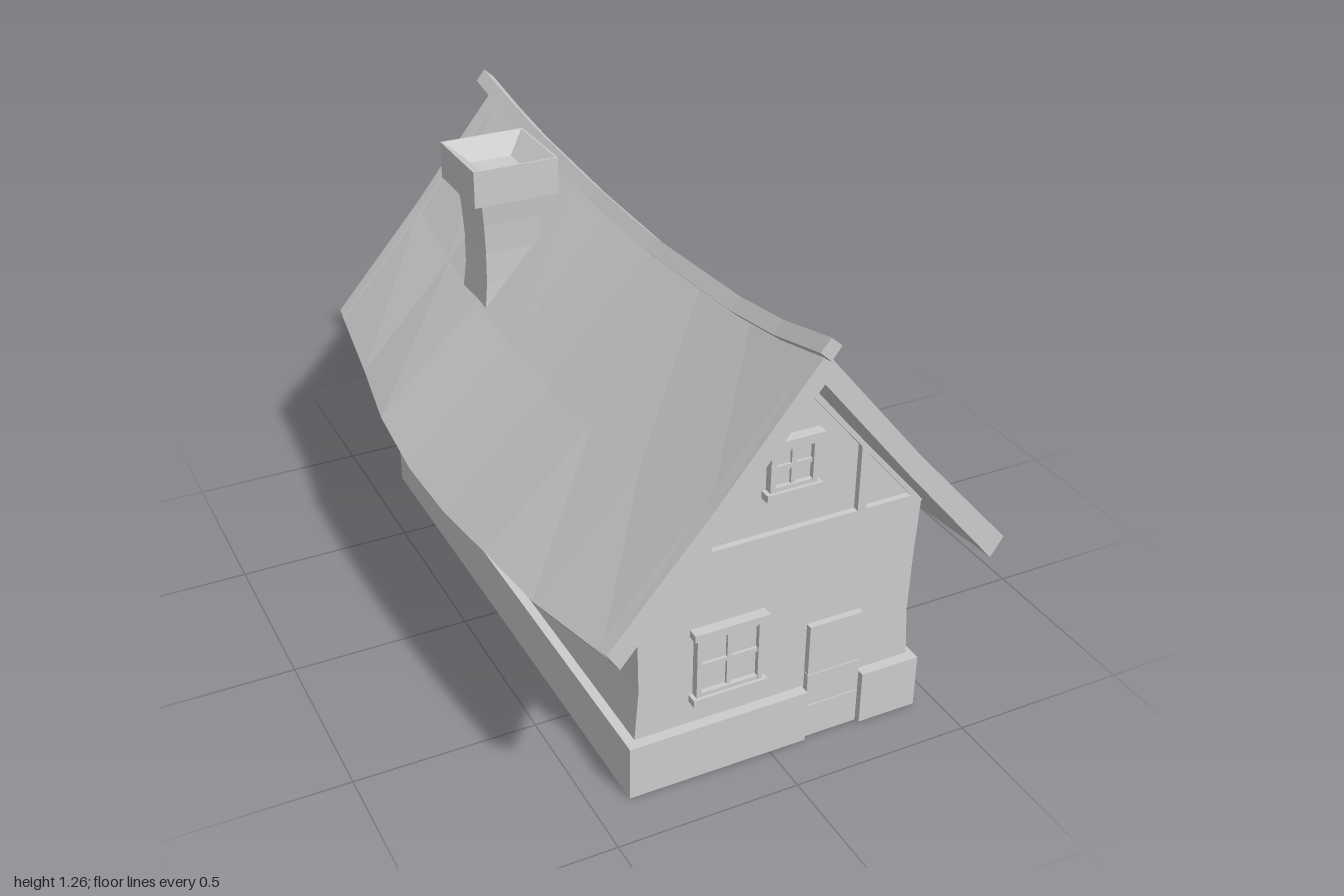
import * as THREE from 'three';

const MAT = new THREE.MeshStandardMaterial({ color: 0xcccccc, flatShading: true });

function mesh(name, geo, parent, x = 0, y = 0, z = 0) {
  const m = new THREE.Mesh(geo, MAT);
  m.name = name;
  m.position.set(x, y, z);
  parent.add(m);
  return m;
}

// box given by its limits
function block(name, parent, x0, x1, y0, y1, z0, z1) {
  return mesh(name, new THREE.BoxGeometry(x1 - x0, y1 - y0, z1 - z0), parent,
    (x0 + x1) / 2, (y0 + y1) / 2, (z0 + z1) / 2);
}

// closed solid through rings (counter-clockwise seen from +z), ordered back to front
function loft(rings) {
  const pos = [], n = rings[0].length;
  const tri = (...p) => p.forEach(q => pos.push(...q));
  for (let s = 0; s < rings.length - 1; s++) {
    for (let i = 0; i < n; i++) {
      const j = (i + 1) % n, A = rings[s], B = rings[s + 1];
      tri(A[i], A[j], B[j]);
      tri(A[i], B[j], B[i]);
    }
  }
  [[rings[0], -1], [rings[rings.length - 1], 1]].forEach(([r, dir]) => {
    const pts = r.map(p => new THREE.Vector2(p[0], p[1]));
    for (const [a, b, c] of THREE.ShapeUtils.triangulateShape(pts, [])) {
      const ccw = (pts[b].x - pts[a].x) * (pts[c].y - pts[a].y) - (pts[c].x - pts[a].x) * (pts[b].y - pts[a].y);
      if (ccw * dir > 0) tri(r[a], r[b], r[c]); else tri(r[a], r[c], r[b]);
    }
  });
  const g = new THREE.BufferGeometry();
  g.setAttribute('position', new THREE.Float32BufferAttribute(pos, 3));
  g.computeVertexNormals();
  return g;
}

const shape = pts => new THREE.Shape(pts.map(p => new THREE.Vector2(...p)));
const extrude = (s, depth) => new THREE.ExtrudeGeometry(s, { depth, bevelEnabled: false });

// roof stations: z, left eave x, right eave x, ridge y, eave y
const STATIONS = [
  [-0.94, -0.515, 0.578, 1.195, 0.56],
  [-0.62, -0.55, 0.59, 1.155, 0.517],
  [-0.36, -0.59, 0.595, 1.138, 0.505],
  [-0.1, -0.6, 0.597, 1.124, 0.482],
  [0.15, -0.595, 0.596, 1.12, 0.485],
  [0.4, -0.58, 0.594, 1.133, 0.508],
  [0.65, -0.56, 0.59, 1.157, 0.517],
  [0.98, -0.52, 0.575, 1.212, 0.565],
];
const RIDGE_X = 0.02;

function stationAt(z) {
  let i = 0;
  while (i < STATIONS.length - 2 && z > STATIONS[i + 1][0]) i++;
  const a = STATIONS[i], b = STATIONS[i + 1], t = (z - a[0]) / (b[0] - a[0]);
  return a.map((v, k) => v + (b[k] - v) * t);
}

// inverted-V section of the roof, slightly dipped halfway down each slope
function roofRing([z, xl, xr, yr, ye], lift = 0, drop = 0) {
  const yt = yr + lift, e = ye + lift, ym = (yt + e) / 2 - 0.012;
  const ml = (xl + RIDGE_X) / 2, mr = (xr + RIDGE_X) / 2;
  return [
    [RIDGE_X, yt, z], [ml, ym, z], [xl, e, z],
    [xl + 0.035, e - 0.046 - drop, z], [ml + 0.02, ym - 0.05 - drop, z],
    [RIDGE_X, yt - 0.072 - drop, z],
    [mr - 0.02, ym - 0.05 - drop, z], [xr - 0.035, e - 0.046 - drop, z],
    [xr, e, z], [mr, ym, z],
  ];
}

// four-pane window facing +z, centred on its own origin
function makeWindow(name, w, h, parent) {
  const g = new THREE.Group();
  g.name = name;
  const x = w / 2, y = h / 2, b = 0.014;
  block('pane', g, -x, x, -y, y, -0.03, 0.008);
  for (const s of [-1, 1]) {
    block('jamb', g, s * (x - b / 2) - b / 2, s * (x - b / 2) + b / 2, -y, y, -0.03, 0.022);
    block('rail', g, -x, x, s * (y - 0.024) - b / 2, s * (y - 0.024) + b / 2, -0.03, 0.021);
    block(s > 0 ? 'lintel' : 'sill', g, -x - 0.011, x + 0.011,
      s * (y - 0.01) - 0.01, s * (y - 0.01) + 0.01, -0.03, 0.03);
  }
  block('mullion', g, -0.006, 0.006, -y, y, -0.03, 0.016);
  block('crossbar', g, -x, x, -0.006, 0.006, -0.03, 0.016);
  parent.add(g);
  return g;
}

export function createModel() {
  const house = new THREE.Group();
  house.name = 'house';

  // plinth with a notch for the door
  const plan = shape([[-0.4, -0.86], [0.105, -0.86], [0.105, -0.82], [0.27, -0.82],
    [0.27, -0.86], [0.44, -0.86], [0.44, 0.8], [-0.4, 0.8]]);
  mesh('plinth', extrude(plan, 0.155).rotateX(-Math.PI / 2).scale(1, 1, -1).scale(1, 1, -1), house)
    .geometry.computeVertexNormals();
  // the plan is drawn with y = -z, so z limits are -0.80 to 0.86

  // walls, pinched at a third of their height
  const walls = new THREE.BoxGeometry(0.8, 0.49, 1.59, 1, 3, 1);
  const wp = walls.attributes.position;
  for (let i = 0; i < wp.count; i++) {
    if (Math.abs(wp.getY(i)) < 0.2) wp.setX(i, wp.getX(i) * (wp.getY(i) < 0 ? 0.97 : 0.98));
  }
  mesh('walls', walls, house, 0.025, 0.38, 0.035);

  // gables with timber framing at both ends
  const gable = [[-0.375, 0.62], [0.425, 0.62], [0.425, 0.645], [0.02, 1.12], [-0.375, 0.645]];
  const frame = shape([[-0.378, 0.645], [0.428, 0.645], [0.02, 1.122]]);
  for (const hole of [
    [[-0.332, 0.667], [-0.215, 0.667], [-0.215, 0.807]],
    [[-0.18, 0.667], [0.225, 0.667], [0.225, 0.85], [0.02, 1.09], [-0.18, 0.849]],
    [[0.25, 0.667], [0.381, 0.667], [0.25, 0.82]],
  ]) frame.holes.push(new THREE.Path(hole.map(p => new THREE.Vector2(...p))));
  mesh('frontGable', extrude(shape(gable), 0.06), house, 0, 0, 0.77);
  mesh('rearGable', extrude(shape(gable), 0.06), house, 0, 0, -0.76);
  mesh('frontTimbers', extrude(frame, 0.03), house, 0, 0, 0.817);
  mesh('rearTimbers', extrude(frame, 0.03), house, 0, 0, -0.777);

  // sagging roof and its end boards
  const roofZ = [-0.92, ...STATIONS.slice(1, -1).map(s => s[0]), 0.96];
  mesh('roof', loft(roofZ.map(z => roofRing(stationAt(z)))), house);
  for (const [name, z0, z1] of [['rearBargeboard', -0.945, -0.9], ['frontBargeboard', 0.935, 0.98]]) {
    mesh(name, loft([z0, z1].map(z => roofRing(stationAt(z), 0.004, 0.006))), house);
  }

  // ridge beam, set on its corner
  const beam = [[-1, 1.214], [-0.8, 1.182], [-0.6, 1.158], [-0.2, 1.133], [0.15, 1.126],
    [0.6, 1.156], [0.8, 1.186], [1, 1.235]];
  mesh('ridgeBeam', loft(beam.map(([z, y]) =>
    [[0.02, y - 0.03, z], [0.045, y + 0.004, z], [0.016, y + 0.03, z], [-0.01, y - 0.002, z]])), house);

  // chimney: flared shaft and hollow cap
  const shaft = new THREE.BoxGeometry(0.18, 0.44, 0.18, 1, 5, 1);
  const sp = shaft.attributes.position;
  for (let i = 0; i < sp.count; i++) {
    const t = sp.getY(i) / 0.22, k = 0.88 + 0.16 * t * t;
    sp.setX(i, sp.getX(i) * k - (t < 0 ? 0.015 * t * t : 0));
    sp.setZ(i, sp.getZ(i) * k);
  }
  mesh('chimneyShaft', shaft, house, -0.192, 0.93, -0.385);
  const r2 = Math.SQRT2;
  const capProfile = [[0, 1.135], [0.123, 1.135], [0.123, 1.24], [0.118, 1.24], [0.06, 1.19], [0, 1.19]]
    .map(([r, y]) => new THREE.Vector2(r * r2, y));
  mesh('chimneyCap', new THREE.LatheGeometry(capProfile, 4, Math.PI / 4), house, -0.192, 0, -0.385);

  // plank door
  const door = new THREE.Group();
  door.name = 'door';
  house.add(door);
  block('doorCore', door, 0.112, 0.263, 0.002, 0.348, 0.8, 0.843);
  for (const [y0, y1] of [[0, 0.099], [0.102, 0.199], [0.202, 0.35]]) {
    block('doorPanel', door, 0.11, 0.265, y0, y1, 0.81, 0.848);
  }

  // windows
  makeWindow('frontWindow', 0.186, 0.218, house).position.set(-0.121, 0.333, 0.83);
  makeWindow('atticWindow', 0.13, 0.16, house).position.set(0.035, 0.85, 0.83);
  for (const s of [-1, 1]) {
    const w = makeWindow(s > 0 ? 'leftWindow' : 'rightWindow', 0.176, 0.215, house);
    w.rotation.set(-0.06, s * Math.PI / 2, 0, 'YXZ');
    w.rotation.x = s > 0 ? 0.06 : 0.03;
    w.position.set(s > 0 ? 0.419 : -0.366, 0.42, 0.335);
  }
  return house;
}
